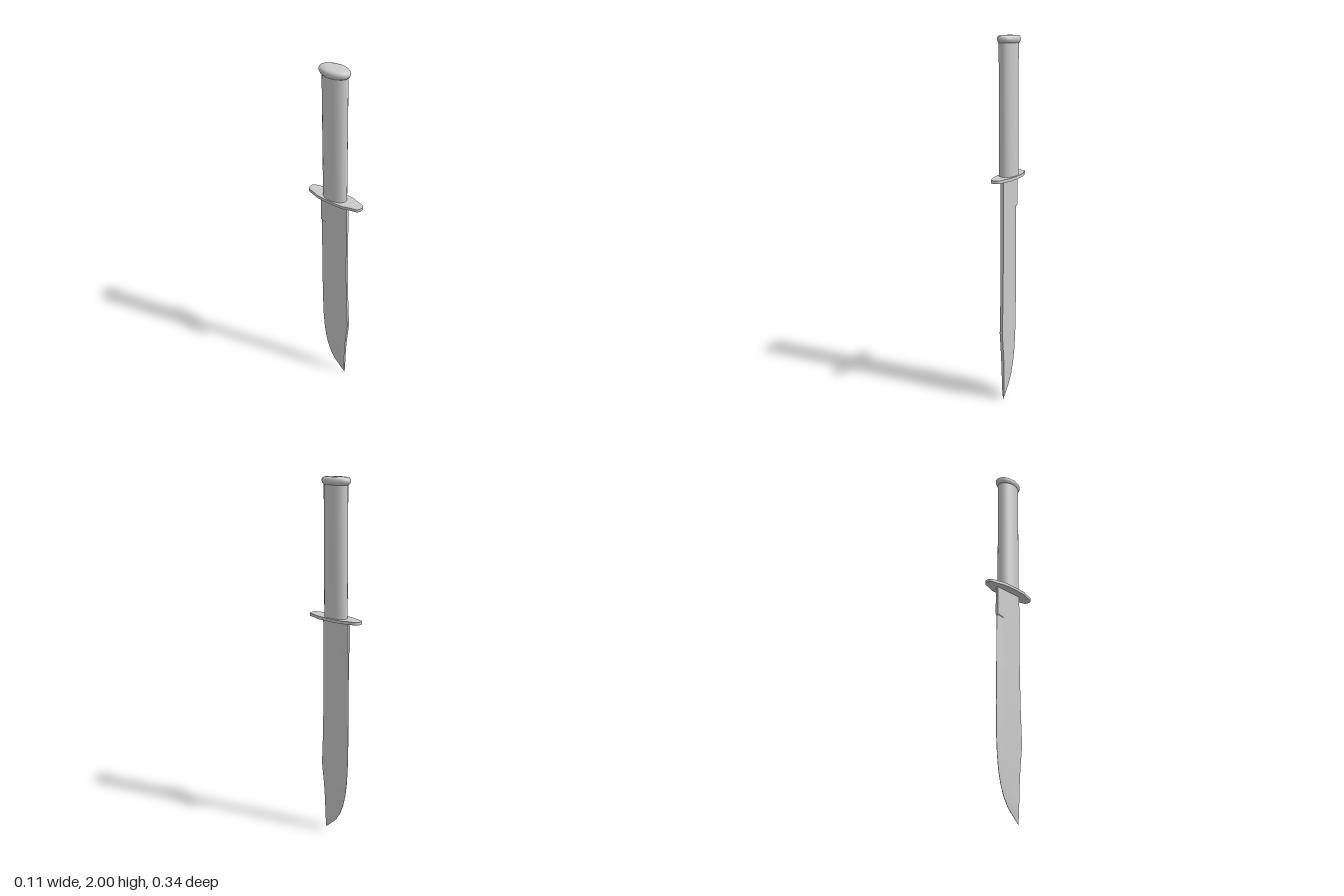
import * as THREE from 'three';
import { toCreasedNormals } from 'three/addons/utils/BufferGeometryUtils.js';

const material = new THREE.MeshStandardMaterial({ color: 0xcccccc });

function part(name, geometry) {
  const mesh = new THREE.Mesh(geometry, material);
  mesh.name = name;
  return mesh;
}

// Oval turned part: profile of [radius along z, y], squeezed in x
function ovalTurned(name, profile, xRatio, z) {
  const points = profile.map(([r, y]) => new THREE.Vector2(r, y));
  const geometry = new THREE.LatheGeometry(points, 24);
  geometry.scale(xRatio, 1, 1).translate(0, 0, z);
  return part(name, toCreasedNormals(geometry, 0.8));
}

// Blade lofted downward through six-point cross-sections
function bladeGeometry() {
  // y, spine z, bevel start z, edge z, half thickness, half thickness at edge
  const sections = [
    [1.268, 0.079, -0.05, -0.092, 0.008, 0.008],
    [1.1, 0.079, -0.05, -0.092, 0.008, 0.008],
    [1.09, 0.079, -0.045, -0.092, 0.008, 0.001],
    [0.8, 0.08, -0.045, -0.092, 0.008, 0.001],
    [0.6, 0.085, -0.045, -0.092, 0.008, 0.001],
    [0.48, 0.09, -0.044, -0.09, 0.008, 0.001],
    [0.41, 0.094, -0.042, -0.088, 0.008, 0.001],
    [0.32, 0.084, -0.037, -0.082, 0.008, 0.001],
    [0.25, 0.077, -0.028, -0.073, 0.008, 0.001],
    [0.18, 0.073, -0.012, -0.057, 0.0075, 0.001],
    [0.12, 0.071, 0.01, -0.034, 0.007, 0.001],
    [0.07, 0.07, 0.034, -0.002, 0.006, 0.001],
    [0.035, 0.07, 0.053, 0.034, 0.004, 0.001],
    [0, 0.07, 0.07, 0.07, 0, 0],
  ];
  const positions = [];
  const index = [];
  sections.forEach(([y, spine, bevel, edge, w, e], i) => {
    positions.push(w, y, spine, w, y, bevel, e, y, edge, -e, y, edge, -w, y, bevel, -w, y, spine);
    if (i === 0) return;
    for (let j = 0; j < 6; j++) {
      const k = (j + 1) % 6;
      const a = (i - 1) * 6 + j, b = i * 6 + j, c = i * 6 + k, d = (i - 1) * 6 + k;
      index.push(a, b, c, a, c, d);
    }
  });
  const geometry = new THREE.BufferGeometry();
  geometry.setAttribute('position', new THREE.Float32BufferAttribute(positions, 3));
  geometry.setIndex(index);
  return toCreasedNormals(geometry, 0.6);
}

// Flat crossguard: one quarter outline mirrored to all four
function guardGeometry() {
  const quarter = [[0.051, 0.03], [0.048, 0.08], [0.036, 0.115], [0.029, 0.145], [0.024, 0.158], [0.014, 0.166], [0, 0.168]];
  const half = [...quarter, ...quarter.slice(0, -1).reverse().map(([x, y]) => [-x, y])];
  const outline = [...half, ...half.map(([x, y]) => [-x, -y])];
  const shape = new THREE.Shape(outline.map(([x, y]) => new THREE.Vector2(x, y)));
  const geometry = new THREE.ExtrudeGeometry(shape, { depth: 0.016, bevelEnabled: false });
  geometry.rotateX(-Math.PI / 2).translate(0, 1.262, 0);
  return toCreasedNormals(geometry, 0.7);
}

export function createModel() {
  const model = new THREE.Group();
  model.name = 'knife';
  model.add(part('blade', bladeGeometry()));
  model.add(part('guard', guardGeometry()));
  model.add(ovalTurned('handle', [[0.071, 1.27], [0.071, 1.97]], 0.64, -0.003));
  // Rounded end cap with a slightly domed top
  model.add(ovalTurned('pommel', [
    [0, 1.96], [0.071, 1.96], [0.08, 1.966], [0.086, 1.977], [0.085, 1.988],
    [0.078, 1.995], [0.06, 1.999], [0.03, 2], [0, 2],
  ], 0.62, -0.005));
  return model;
}
